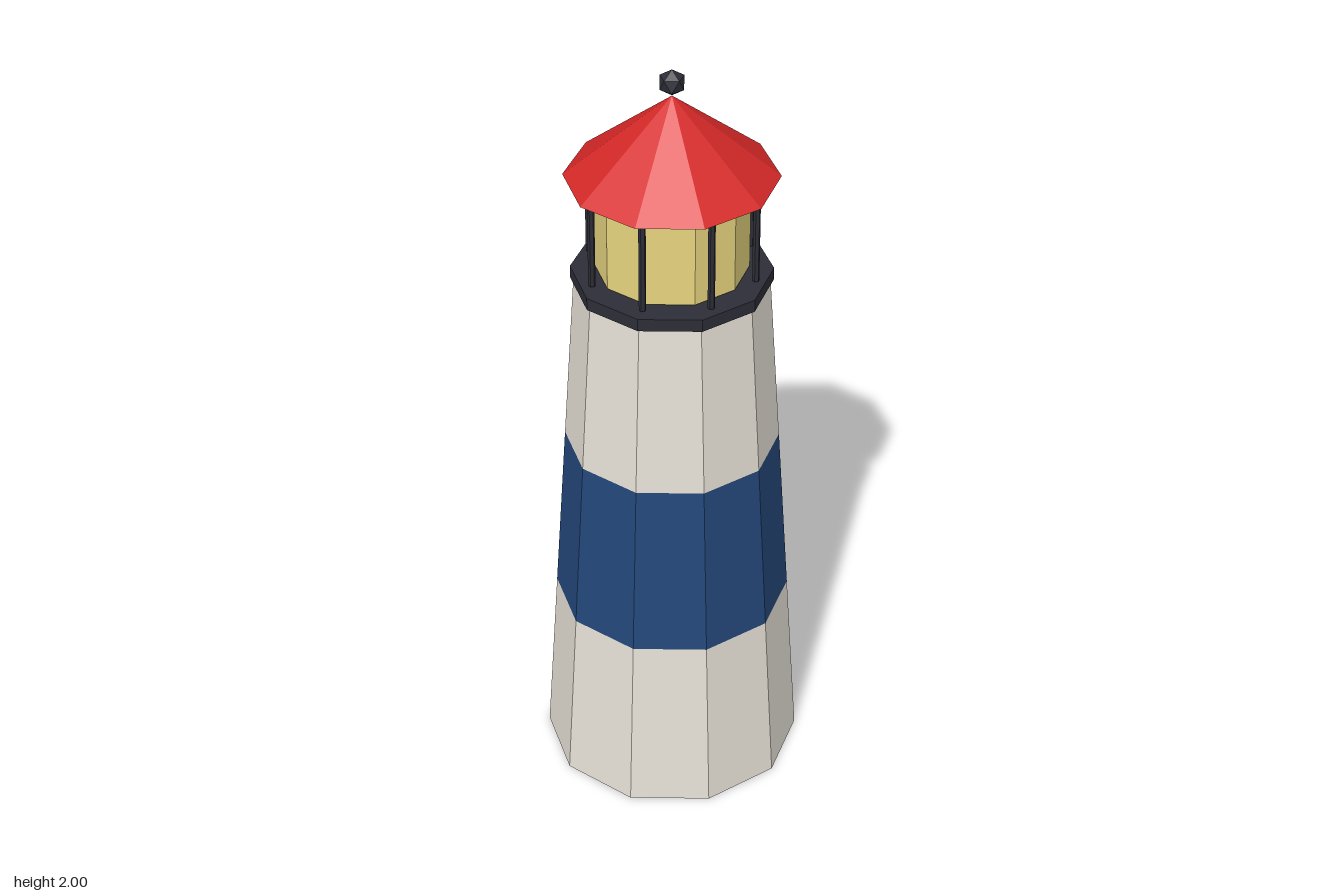
import * as THREE from 'three';

function mat(name, color) {
  const m = new THREE.MeshStandardMaterial({ color, flatShading: true });
  m.name = name;
  return m;
}

export function createModel() {
  const white = mat('warm white', 0xe6e1d6);
  const blue = mat('navy blue', 0x24477a);
  const red = mat('roof red', 0xd62828);
  const glow = mat('lamp yellow', 0xe9d680);
  const dark = mat('dark metal', 0x2d2d38);

  const group = new THREE.Group();
  group.name = 'lighthouse';

  const add = (name, geometry, material, x, y, z) => {
    const mesh = new THREE.Mesh(geometry, material);
    mesh.name = name;
    mesh.position.set(x, y, z);
    group.add(mesh);
    return mesh;
  };

  // Upright prism between two heights; a corner points to +z
  const prism = (name, material, r0, r1, y0, y1, open = false, sides = 10, x = 0, z = 0) =>
    add(name, new THREE.CylinderGeometry(r1, r0, y1 - y0, sides, 1, open), material, x, (y0 + y1) / 2, z);

  // Tapered ten-sided tower in three bands
  const towerTop = 1.424;
  const radiusAt = (y) => 0.335 + (0.242 - 0.335) * (y / towerTop);
  const band = (name, material, y0, y1, open) =>
    prism(name, material, radiusAt(y0), radiusAt(y1), y0, y1, open);
  band('towerBase', white, 0, 0.485, false);
  band('towerStripe', blue, 0.485, 0.96, true);
  band('towerUpper', white, 0.96, towerTop, false);

  // Gallery deck and lamp room
  prism('galleryDeck', dark, 0.25, 0.25, towerTop, 1.457);
  prism('lampRoom', glow, 0.19, 0.19, 1.463, 1.704);

  // Eight slim posts around the lamp room
  for (let i = 0; i < 8; i++) {
    const a = (i * Math.PI) / 4;
    prism('galleryPost', dark, 0.009, 0.009, 1.463, 1.704, false, 6, 0.215 * Math.sin(a), 0.215 * Math.cos(a));
  }

  // Pointed roof with its closed underside
  add('roof', new THREE.ConeGeometry(0.263, 0.215, 10), red, 0, 1.716 + 0.215 / 2, 0);

  // Faceted finial, turned so that one corner points up
  const finial = new THREE.IcosahedronGeometry(0.034, 0);
  finial.rotateZ(Math.atan2(1, (1 + Math.sqrt(5)) / 2));
  add('finial', finial, dark, 0, 1.966, 0);

  return group;
}
